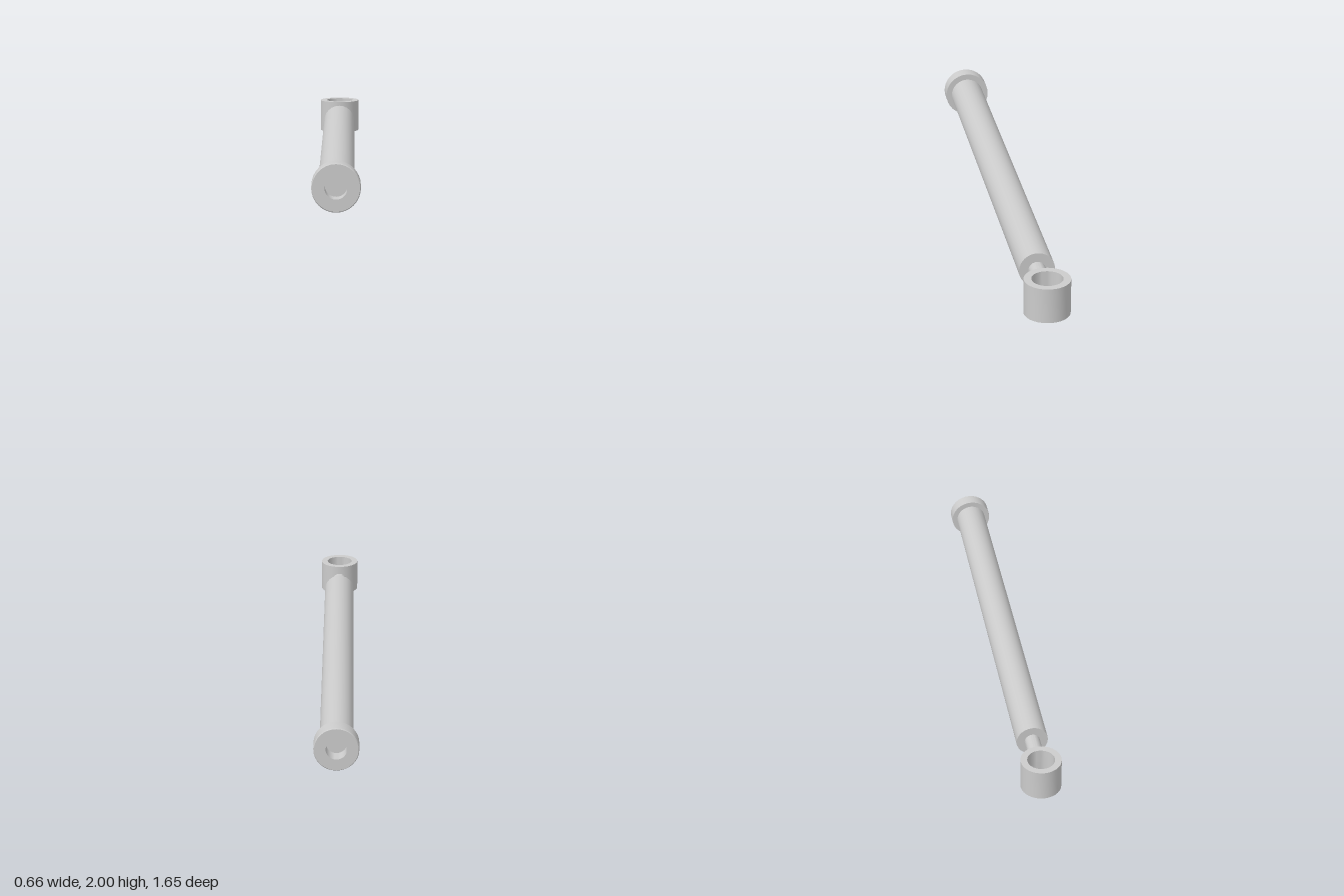
import * as THREE from 'three';
import { toCreasedNormals } from 'three/addons/utils/BufferGeometryUtils.js';

const material = new THREE.MeshStandardMaterial({ color: 0xcccccc });

// Turned part from [radius, height] points, with sharp edges kept
function turned(name, points, alongZ = true, sides = 32) {
  let geo = new THREE.LatheGeometry(points.map(([r, h]) => new THREE.Vector2(r, h)), sides);
  if (alongZ) geo.rotateX(Math.PI / 2);
  geo = toCreasedNormals(geo, 0.5);
  const mesh = new THREE.Mesh(geo, material);
  mesh.name = name;
  return mesh;
}

// One strut, built along +z from the centre of its eye
function strut(name) {
  const group = new THREE.Group();
  group.name = name;
  group.add(
    // upright ring at the rod end
    turned('mountingEye', [[0.048, -0.056], [0.071, -0.056], [0.071, 0.056], [0.048, 0.056], [0.048, -0.056]], false),
    // thin rod between ring and barrel
    turned('pistonRod', [[0, 0.06], [0.027, 0.06], [0.027, 0.19], [0, 0.19]], true, 24),
    // main barrel
    turned('barrel', [[0, 0.17], [0.056, 0.17], [0.056, 1.594], [0, 1.594]], true, 24),
    // collar with a blind bore in its outer face
    turned('endCap', [[0, 1.592], [0.0755, 1.592], [0.0755, 1.642], [0.073, 1.645], [0.035, 1.645], [0.035, 1.595], [0, 1.595]]),
  );
  return group;
}

export function createModel() {
  const model = new THREE.Group();
  model.name = 'strutPair';
  // lower and upper struts, swung to the same angle
  for (const [name, y] of [['lowerStrut', 0.0755], ['upperStrut', 1.9245]]) {
    const s = strut(name);
    s.position.set(-0.262, y, -0.759);
    s.rotation.y = 0.322;
    model.add(s);
  }
  return model;
}
